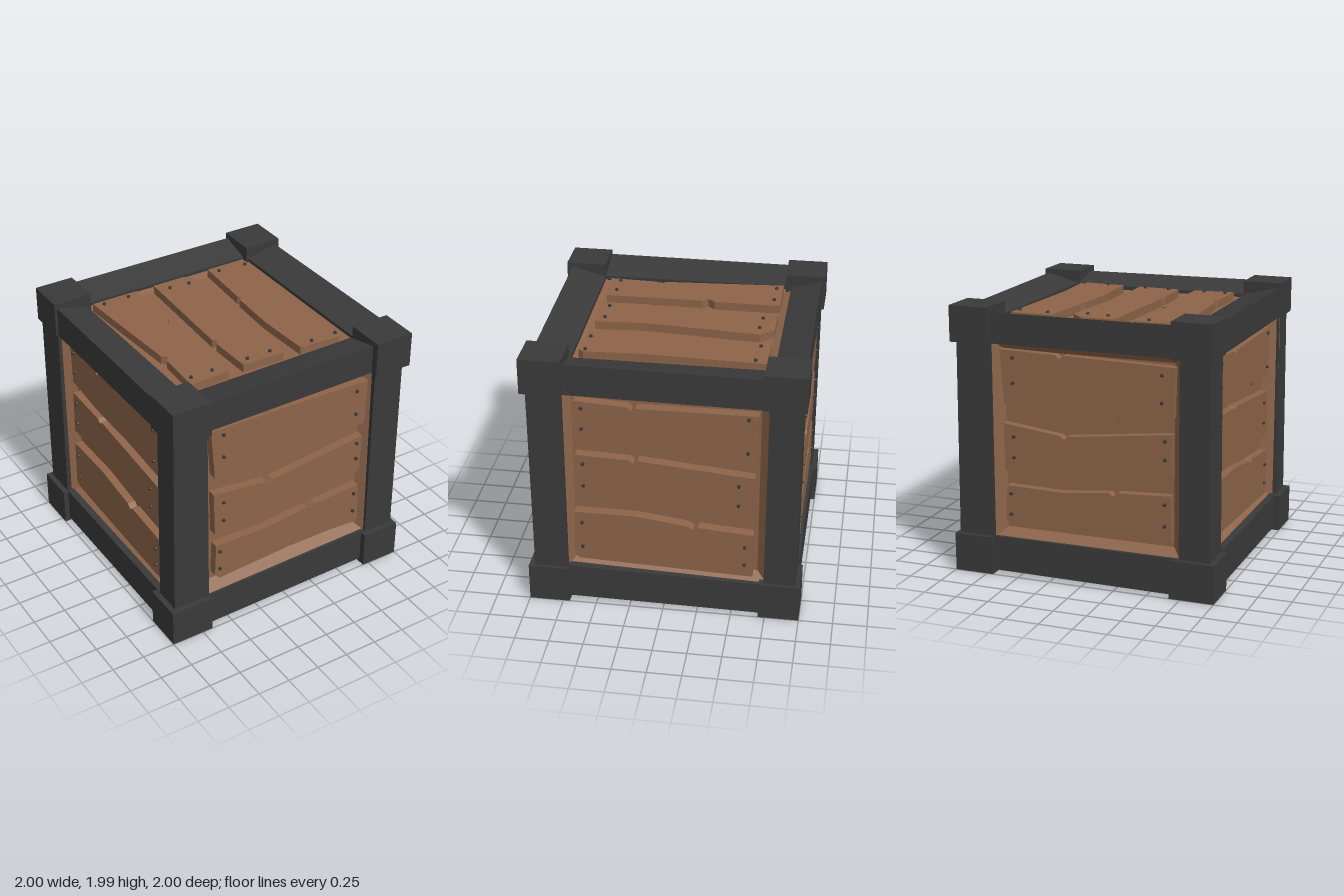
import * as THREE from 'three';
import { ConvexGeometry } from 'three/addons/geometries/ConvexGeometry.js';

const wood = new THREE.MeshStandardMaterial({ color: 0x8d6449 });
wood.name = 'brown wood';
const iron = new THREE.MeshStandardMaterial({ color: 0x3a3a3a });
iron.name = 'dark iron';
const nailMat = new THREE.MeshStandardMaterial({ color: 0x36393b });
nailMat.name = 'nail steel';

const mesh = (name, geo, mat, parent) => {
  const m = new THREE.Mesh(geo, mat);
  m.name = name;
  parent.add(m);
  return m;
};

// Beam along one axis, with a rectangle [a0, a1, b0, b1] at each end.
// Rails slope down towards the middle of the top and bottom faces.
function beamGeometry(axis, start, end) {
  const [lo, hi] = axis === 1 ? [0.15, 1.85] : [-0.85, 0.85];
  const others = [0, 1, 2].filter((i) => i !== axis);
  const points = [];
  for (const [along, rect] of [[lo, start], [hi, end]])
    for (const a of [0, 1])
      for (const b of [2, 3]) {
        const v = [0, 0, 0];
        v[axis] = along;
        v[others[0]] = rect[a];
        v[others[1]] = rect[b];
        const inner = Math.min(Math.abs(v[0]), Math.abs(v[2])) < 0.8;
        if (inner && Math.abs(v[1] - 1) > 0.9) v[1] = 1 + 0.9 * Math.sign(v[1] - 1);
        points.push(new THREE.Vector3(...v));
      }
  return new ConvexGeometry(points);
}

// Recess: sloped lining between two rectangles [l, r, b, t], closed by a back panel
function recessGeometry({ outer, inner }, { lip, back }) {
  const ring = ([l, r, b, t], z) => [[l, b, z], [r, b, z], [r, t, z], [l, t, z]];
  const o = ring(outer, lip), n = ring(inner, back), pos = [];
  const quad = (a, b, c, d) => pos.push(...a, ...b, ...c, ...a, ...c, ...d);
  for (let i = 0; i < 4; i++) {
    const j = (i + 1) % 4;
    quad(o[i], o[j], n[j], n[i]);
  }
  quad(...n);
  const geo = new THREE.BufferGeometry();
  geo.setAttribute('position', new THREE.Float32BufferAttribute(pos, 3));
  geo.computeVertexNormals();
  return geo;
}

// Board layouts: u to the right, v up, both from the middle of the face
const frontLayout = {
  outer: [-0.69, 0.74, -0.71, 0.755], inner: [-0.615, 0.67, -0.64, 0.69],
  planks: [
    [[-0.63, 0.7], [-0.2, 0.69], [-0.17, 0.665], [-0.14, 0.69], [0.69, 0.67], [0.68, 0.31], [0.33, 0.265],
      [0.29, 0.29], [0.25, 0.255], [-0.14, 0.24], [-0.6, 0.3]],
    [[-0.61, 0.16], [-0.17, 0.105], [-0.14, 0.08], [-0.11, 0.105], [0.67, 0.195], [0.66, -0.1], [0.62, -0.14],
      [-0.16, -0.225], [-0.6, -0.195]],
    [[-0.59, -0.305], [-0.17, -0.315], [0.2, -0.275], [0.23, -0.3], [0.27, -0.27], [0.66, -0.25], [0.67, -0.59],
      [0.22, -0.565], [-0.56, -0.61], [-0.6, -0.57]],
  ],
  nails: [[-0.53, 0.645], [-0.53, 0.46], [0.595, 0.61], [0.595, 0.415], [-0.53, 0.065], [-0.53, -0.09],
    [0.62, 0.145], [0.62, 0.01], [-0.56, -0.365], [-0.56, -0.52], [0.62, -0.315], [0.62, -0.475]],
};
const sideLayout = {
  outer: [-0.725, 0.76, -0.725, 0.745], inner: [-0.66, 0.68, -0.66, 0.685],
  planks: [
    [[-0.63, 0.685], [-0.25, 0.66], [-0.22, 0.63], [-0.19, 0.655], [0.67, 0.66], [0.66, 0.28], [0.21, 0.305],
      [0.18, 0.335], [0.145, 0.3], [-0.25, 0.31], [-0.62, 0.355]],
    [[-0.63, 0.25], [-0.24, 0.235], [-0.21, 0.21], [-0.18, 0.235], [0.65, 0.16], [0.66, -0.15], [0.61, -0.2],
      [-0.19, -0.11], [-0.64, -0.105]],
    [[-0.65, -0.23], [-0.2, -0.23], [0.18, -0.28], [0.215, -0.31], [0.25, -0.285], [0.65, -0.315], [0.65, -0.67],
      [-0.62, -0.625], [-0.66, -0.58]],
  ],
  nails: [[-0.575, 0.63], [-0.575, 0.465], [0.6, 0.63], [0.6, 0.365], [-0.575, 0.18], [-0.575, 0],
    [0.54, 0.09], [0.54, -0.07], [-0.595, -0.315], [-0.595, -0.52], [0.59, -0.42], [0.59, -0.57]],
};
const topLayout = {
  outer: [-0.71, 0.735, -0.71, 0.76], inner: [-0.67, 0.66, -0.66, 0.69],
  planks: [
    [[-0.66, 0.69], [-0.29, 0.69], [-0.295, 0.2], [-0.34, 0.15], [-0.3, 0.11], [-0.3, -0.62], [-0.61, -0.64],
      [-0.595, -0.28], [-0.56, -0.245], [-0.6, -0.21]],
    [[-0.14, 0.69], [0.12, 0.69], [0.21, 0.59], [0.14, -0.24], [0.16, -0.62], [-0.17, -0.61], [-0.18, -0.27],
      [-0.145, -0.24], [-0.18, -0.21]],
    [[0.34, 0.69], [0.66, 0.69], [0.63, -0.22], [0.65, -0.61], [0.62, -0.65], [0.3, -0.63], [0.28, -0.2],
      [0.3, 0.17], [0.33, 0.195], [0.31, 0.22]],
  ],
  nails: [[-0.59, 0.64], [-0.385, 0.64], [-0.055, 0.59], [0.105, 0.58], [0.4, 0.62], [0.625, 0.605],
    [-0.565, -0.56], [-0.395, -0.56], [-0.105, -0.56], [0.085, -0.56], [0.415, -0.6], [0.62, -0.6]],
};

// One boarded face, facing +z; depths are measured from the crate's centre
function boardedFace(name, layout, depths, rx, ry) {
  const face = new THREE.Group();
  face.name = name;
  mesh('recessedPanel', recessGeometry(layout, depths), wood, face);
  for (const outline of layout.planks) {
    const shape = new THREE.Shape(outline.map(([u, v]) => new THREE.Vector2(u, v)));
    const geo = new THREE.ExtrudeGeometry(shape, { depth: depths.plank - depths.back + 0.01, bevelEnabled: false });
    mesh('plank', geo, wood, face).position.z = depths.back - 0.01;
  }
  const nailGeo = new THREE.CylinderGeometry(0.011, 0.016, 0.03, 8).rotateX(Math.PI / 2);
  for (const [u, v] of layout.nails) mesh('nail', nailGeo, nailMat, face).position.set(u, v, depths.plank);
  face.rotation.set(rx, ry, 0);
  face.position.y = 1;
  return face;
}

export function createModel() {
  const crate = new THREE.Group();
  crate.name = 'crate';

  // Boarded faces
  const q = Math.PI / 2;
  crate.add(
    boardedFace('frontFace', frontLayout, { lip: 0.95, back: 0.86, plank: 0.925 }, 0, 0),
    boardedFace('backFace', frontLayout, { lip: 0.955, back: 0.89, plank: 0.955 }, 0, 2 * q),
    boardedFace('leftFace', sideLayout, { lip: 0.95, back: 0.875, plank: 0.952 }, 0, q),
    boardedFace('rightFace', sideLayout, { lip: 0.95, back: 0.835, plank: 0.895 }, 0, -q),
    boardedFace('topFace', topLayout, { lip: 0.88, back: 0.855, plank: 0.918 }, -q, 0),
    boardedFace('bottomFace', topLayout, { lip: 0.89, back: 0.87, plank: 0.94 }, q, 0),
  );

  // Slightly crooked edge beams
  const beams = [
    ['post', 1, [-0.96, -0.67, 0.745, 0.955], [-0.945, -0.68, 0.745, 0.96]],
    ['post', 1, [0.73, 0.975, 0.71, 0.955], [0.72, 0.96, 0.71, 0.965]],
    ['post', 1, [0.69, 0.975, -0.965, -0.735], [0.69, 0.96, -0.97, -0.74]],
    ['post', 1, [-0.96, -0.73, -0.965, -0.71], [-0.95, -0.725, -0.97, -0.71]],
    ['topRail', 0, [1.74, 1.97, 0.7, 0.96], [1.74, 1.96, 0.685, 0.945]],
    ['topRail', 0, [1.74, 1.97, -0.975, -0.745], [1.74, 1.965, -0.975, -0.745]],
    ['topRail', 2, [0.72, 0.97, 1.72, 1.955], [0.72, 0.97, 1.735, 1.97]],
    ['topRail', 2, [-0.95, -0.7, 1.73, 1.965], [-0.957, -0.685, 1.735, 1.97]],
    ['bottomRail', 0, [0.03, 0.295, 0.74, 0.96], [0.045, 0.31, 0.74, 0.95]],
    ['bottomRail', 0, [0.03, 0.3, -0.97, -0.69], [0.04, 0.3, -0.97, -0.7]],
    ['bottomRail', 2, [0.72, 0.975, 0.03, 0.28], [0.72, 0.97, 0.045, 0.31]],
    ['bottomRail', 2, [-0.96, -0.69, 0.035, 0.3], [-0.96, -0.7, 0.04, 0.3]],
  ];
  for (const [name, axis, start, end] of beams) mesh(name, beamGeometry(axis, start, end), iron, crate);

  // Corner blocks
  for (const [x0, x1] of [[-1, -0.67], [0.7, 1]])
    for (const [y0, y1] of [[0.01, 0.295], [1.735, 2]])
      for (const [z0, z1] of [[-1, -0.7], [0.7, 1]]) {
        const left = x0 < 0 && y0 > 1 ? -0.97 : x0;
        const block = new THREE.BoxGeometry(x1 - left, y1 - y0, z1 - z0);
        mesh('cornerBlock', block, iron, crate).position.set((left + x1) / 2, (y0 + y1) / 2, (z0 + z1) / 2);
      }
  return crate;
}
